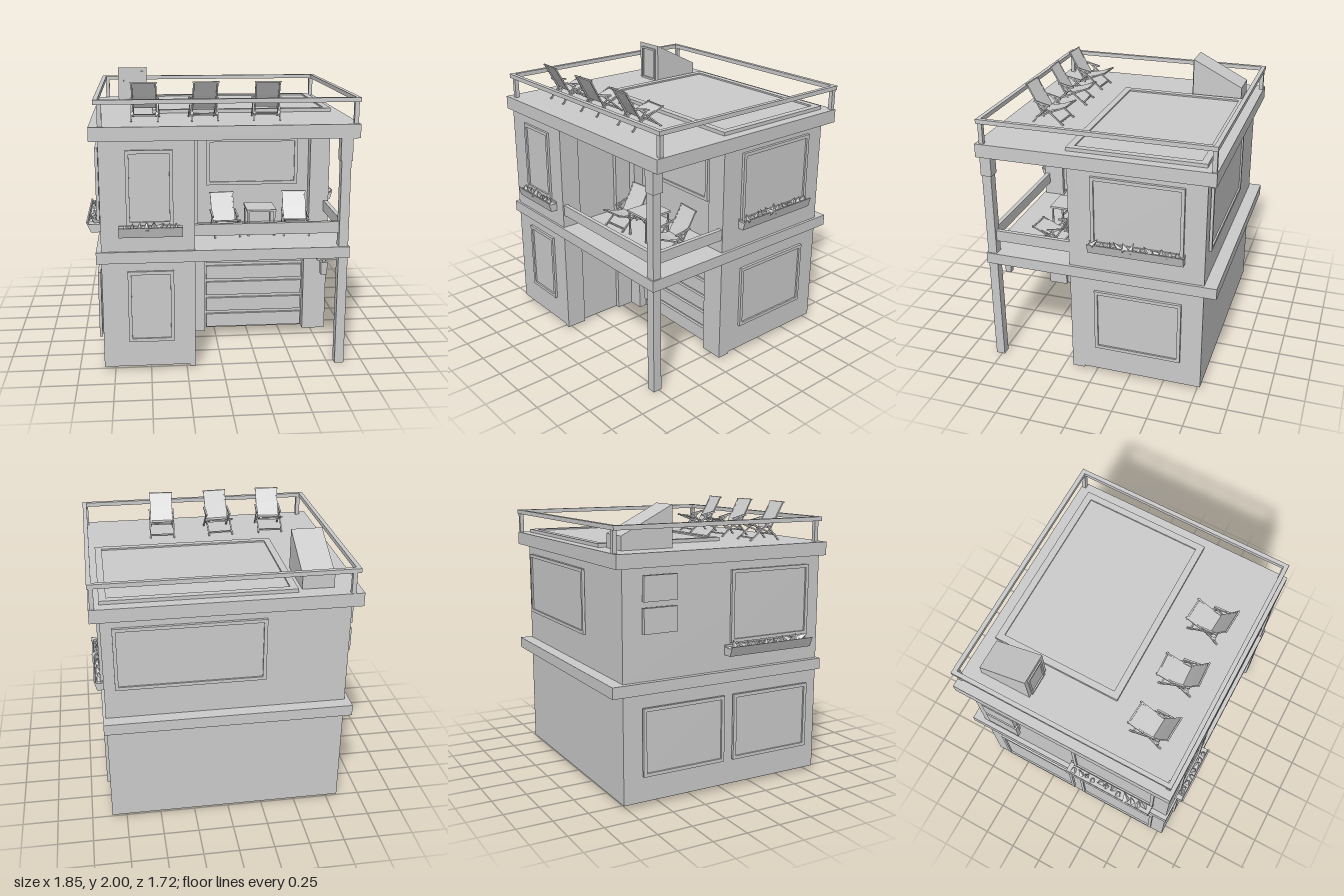
import * as THREE from 'three';

const mat = new THREE.MeshStandardMaterial({ color: 0xcccccc, flatShading: true, side: THREE.DoubleSide });

function add(parent, name, geo) {
  const m = new THREE.Mesh(geo, mat);
  m.name = name;
  parent.add(m);
  return m;
}

function group(parent, name, x = 0, y = 0, z = 0, ry = 0) {
  const g = new THREE.Group();
  g.name = name;
  g.position.set(x, y, z);
  g.rotation.y = ry;
  parent.add(g);
  return g;
}

// Box given by its limits on each axis
function box(parent, name, x0, x1, y0, y1, z0, z1) {
  const m = add(parent, name, new THREE.BoxGeometry(x1 - x0, y1 - y0, z1 - z0));
  m.position.set((x0 + x1) / 2, (y0 + y1) / 2, (z0 + z1) / 2);
  return m;
}

// Rectangular rim lying in XY, extruded along +z
function rim(w, h, t, depth) {
  const rect = (S, a, b) => new S([[-a, -b], [a, -b], [a, b], [-a, b]].map(p => new THREE.Vector2(...p)));
  const s = rect(THREE.Shape, w / 2, h / 2);
  s.holes.push(rect(THREE.Path, w / 2 - t, h / 2 - t));
  return new THREE.ExtrudeGeometry(s, { depth, bevelEnabled: false });
}

// Framed window facing local +z
function windowUnit(parent, name, x, y, z, ry, w, h) {
  const g = group(parent, name, x, y, z, ry);
  add(g, 'windowFrame', rim(w, h, 0.024, 0.02));
  box(g, 'windowPane', -w / 2 + 0.01, w / 2 - 0.01, -h / 2 + 0.01, h / 2 - 0.01, 0, 0.008);
}

let seed = 7;
const rnd = () => (seed = (seed * 16807) % 2147483647) / 2147483647;

// Tapered planter facing local +z, filled with angular plants
function flowerBox(parent, x, y, z, ry, len, out) {
  const g = group(parent, 'flowerBox', x, y, z, ry);
  const prof = [[0, 0], [out * 0.7, 0], [out, 0.07], [out - 0.01, 0.07], [out - 0.015, 0.055], [0.01, 0.055], [0.01, 0.07], [0, 0.07]];
  const geo = new THREE.ExtrudeGeometry(new THREE.Shape(prof.map(p => new THREE.Vector2(...p))), { depth: len, bevelEnabled: false });
  geo.translate(0, 0, -len / 2).rotateY(-Math.PI / 2);
  add(g, 'planter', geo);
  const n = Math.round(len / 0.055);
  for (let i = 0; i < n; i++) {
    const h = 0.04 + rnd() * 0.035;
    const p = add(g, 'plant', new THREE.ConeGeometry(0.02 + rnd() * 0.012, h, 4));
    p.position.set(((i + 0.5) / n - 0.5) * (len - 0.04), 0.055 + h * 0.3, out * 0.5);
    p.rotation.set((rnd() - 0.5) * 0.8, rnd() * 3, (rnd() - 0.5) * 1.8);
  }
}

// Bar between two points
function bar(parent, name, a, b, t = 0.01) {
  const p = new THREE.Vector3(...a), q = new THREE.Vector3(...b);
  const m = add(parent, name, new THREE.BoxGeometry(t, t, p.distanceTo(q)));
  m.position.copy(p).add(q).multiplyScalar(0.5);
  m.lookAt(q);
}

// Folding deck chair facing local +z
function deckChair(parent, x, y, z, ry) {
  const g = group(parent, 'deckChair');
  for (const s of [-1, 1]) {
    const sx = s * 0.08, ox = s * 0.09;
    bar(g, 'backRail', [sx, 0.27, -0.145], [sx, 0.045, -0.02]);
    bar(g, 'seatRail', [sx, 0.035, -0.085], [sx, 0.135, 0.155]);
    bar(g, 'rearLeg', [ox, 0, -0.105], [ox, 0.13, 0.01]);
    bar(g, 'frontLeg', [ox, 0, 0.13], [ox, 0.155, -0.06]);
    bar(g, 'armRest', [ox, 0.155, -0.09], [ox, 0.13, 0.03], 0.012);
  }
  for (const [yy, zz] of [[0.268, -0.144], [0.04, -0.075], [0.13, 0.145], [0.02, 0.105]])
    bar(g, 'crossBar', [-0.09, yy, zz], [0.09, yy, zz]);
  // Fabric sling as a strip following the back and seat
  const line = [[0.268, -0.14], [0.17, -0.085], [0.085, -0.035], [0.095, 0.03], [0.13, 0.145]];
  const geo = new THREE.PlaneGeometry(0.15, 1, 1, line.length - 1);
  const pos = geo.attributes.position;
  for (let i = 0; i < pos.count; i++) {
    const [yy, zz] = line[Math.floor(i / 2)];
    pos.setY(i, yy);
    pos.setZ(i, zz);
  }
  geo.computeVertexNormals();
  add(g, 'fabric', geo);
  g.position.set(x, y, z);
  g.rotation.y = ry;
}

// One storey of walls on an L-shaped plan, open underneath
function storey(parent, name, y0, y1, o) {
  const g = group(parent, name);
  const T = 0.01, L = -0.825, R = 0.855, B = -0.775, F = 0.79, C = -0.19, M = 0.18;
  const low = o.low;
  box(g, 'leftWall', L, L + T, y0, y1, B, F);
  box(g, 'frontWall', L, C, y0, y1, F - T, F);
  box(g, 'backWall', L, R, y0, y1, B, B + T);
  box(g, 'rightWall', R - T, R, y0, y1, B, 0.1);
  // Recessed front wall with jambs and lintel
  box(g, 'recessWall', -0.54, R, low, y1, 0.09, 0.1);
  box(g, 'recessJamb', C, o.x0, low, y1, 0.1, M);
  box(g, 'recessJamb', o.x1, R, low, y1, 0.1, M);
  box(g, 'recessLintel', o.x0, o.x1, o.top, y1, 0.1, M);
  // Inner side wall with a sunken door
  box(g, 'sideJamb', C - 0.04, C, low, y1, 0.64, F);
  box(g, 'sideJamb', C - 0.04, C, low, y1, 0.1, 0.31);
  box(g, 'sideLintel', C - 0.04, C, o.top, y1, 0.31, 0.64);
  box(g, 'sideDoor', C - 0.04, C - 0.03, low, o.top, 0.31, 0.64);
}

export function createModel() {
  const house = new THREE.Group();
  house.name = 'house';
  const H = Math.PI / 2;

  // Walls and slabs
  storey(house, 'groundFloor', 0.03, 0.79, { low: 0.015, x0: -0.08, x1: 0.68, top: 0.71 });
  storey(house, 'upperFloor', 0.86, 1.63, { low: 0.86, x0: -0.13, x1: 0.71, top: 1.545 });
  box(house, 'floorSlab', -0.86, 0.875, 0.785, 0.865, -0.865, 0.805);
  box(house, 'roofSlab', -0.885, 0.92, 1.62, 1.715, -0.84, 0.805);

  // Corner post with capital
  box(house, 'cornerPost', 0.8, 0.865, 0, 1.62, 0.73, 0.795);
  box(house, 'postCapital', 0.792, 0.873, 1.465, 1.62, 0.722, 0.8);

  // Garage door of tilted planks
  box(house, 'garageBack', -0.08, 0.68, 0.016, 0.7, 0.1, 0.11);
  for (let i = 0; i < 5; i++) {
    const y = 0.03 + i * 0.13;
    box(house, 'garagePlank', -0.065, 0.67, y, y + 0.105, 0.11, 0.13);
  }
  box(house, 'garageHeader', -0.08, 0.68, 0.685, 0.71, 0.1, 0.15);

  // Windows: front, recess, right, left, back
  windowUnit(house, 'frontWindowLower', -0.493, 0.47, 0.787, 0, 0.315, 0.51);
  windowUnit(house, 'frontWindowUpper', -0.493, 1.305, 0.787, 0, 0.315, 0.51);
  windowUnit(house, 'balconyWindow', 0.283, 1.335, 0.1, 0, 0.685, 0.35);
  windowUnit(house, 'rightWindowLower', 0.855, 0.455, -0.313, H, 0.625, 0.47);
  windowUnit(house, 'rightWindowUpper', 0.855, 1.31, -0.308, H, 0.645, 0.5);
  for (const z of [-0.325, 0.38])
    windowUnit(house, 'leftWindowLower', -0.837, 0.453, z, -H, 0.63, 0.475);
  windowUnit(house, 'leftWindowUpper', -0.833, 1.31, 0.36, -H, 0.645, 0.5);
  windowUnit(house, 'backWindow', 0.265, 1.32, -0.78, Math.PI, 1.03, 0.46);

  // Planters under the windows
  flowerBox(house, -0.49, 0.975, 0.79, 0, 0.43, 0.068);
  flowerBox(house, -0.825, 0.975, 0.34, -H, 0.68, 0.1);
  flowerBox(house, 0.855, 1.01, -0.305, H, 0.67, 0.065);

  // Wall units on the left side
  for (const y of [1.19, 1.4]) {
    box(house, 'airUnit', -0.88, -0.85, y, y + 0.17, -0.645, -0.4);
    box(house, 'airUnitBack', -0.85, -0.825, y + 0.015, y + 0.155, -0.63, -0.415);
  }

  // Hanging lantern beside the post
  box(house, 'lanternArm', 0.665, 0.8, 0.75, 0.785, 0.7, 0.735);
  box(house, 'lanternStem', 0.705, 0.725, 0.73, 0.75, 0.705, 0.725);
  const lamp = add(house, 'lantern', new THREE.CylinderGeometry(0.035, 0.028, 0.09, 4));
  lamp.position.set(0.715, 0.688, 0.715);
  lamp.rotation.y = Math.PI / 4;

  // Balcony rails and furniture
  box(house, 'balconyFrontRail', -0.19, 0.8, 0.96, 1.04, 0.75, 0.78);
  box(house, 'balconySideRail', 0.818, 0.848, 0.96, 1.04, 0.18, 0.73);
  deckChair(house, 0.05, 0.865, 0.39, 0.08);
  deckChair(house, 0.565, 0.865, 0.39, -0.08);
  const table = group(house, 'table', 0.305, 0.865, 0.385);
  box(table, 'tableTop', -0.105, 0.105, 0.18, 0.195, -0.115, 0.115);
  for (const x of [-0.093, 0.093]) for (const z of [-0.1, 0.1])
    box(table, 'tableLeg', x - 0.006, x + 0.006, 0, 0.18, z - 0.006, z + 0.006);

  // Roof railing
  const rail = group(house, 'roofRailing', 0.035, 1.86, -0.0275, 0);
  add(rail, 'topRail', rim(1.77, 1.625, 0.03, 0.03).rotateX(-H));
  for (const x of [-0.81, 0.895]) for (const z of [-0.82, 0.76])
    box(house, 'railPost', x - 0.015, x + 0.015, 1.715, 1.86, z - 0.015, z + 0.015);

  // Raised roof panel
  const panel = group(house, 'roofPanel', 0.1975, 1.715, -0.29);
  add(panel, 'panelRim', rim(1.305, 0.95, 0.048, 0.025).rotateX(-H));
  box(panel, 'panelCentre', -0.61, 0.61, 0, 0.014, -0.43, 0.43);

  // Sloped roof access with door
  const wedge = new THREE.Shape([[0.345, 1.715], [0.72, 1.715], [0.72, 1.81], [0.345, 2]].map(p => new THREE.Vector2(...p)));
  const access = new THREE.ExtrudeGeometry(wedge, { depth: 0.22, bevelEnabled: false });
  access.rotateY(H).translate(-0.71, 0, 0);
  add(house, 'roofAccess', access);
  const door = group(house, 'roofDoor', -0.6, 1.842, -0.345);
  add(door, 'doorFrame', rim(0.165, 0.255, 0.015, 0.01));

  // Roof chairs facing the back
  deckChair(house, -0.51, 1.715, 0.49, Math.PI - 0.06);
  deckChair(house, -0.11, 1.715, 0.49, Math.PI + 0.05);
  deckChair(house, 0.325, 1.715, 0.49, Math.PI - 0.06);

  return house;
}
